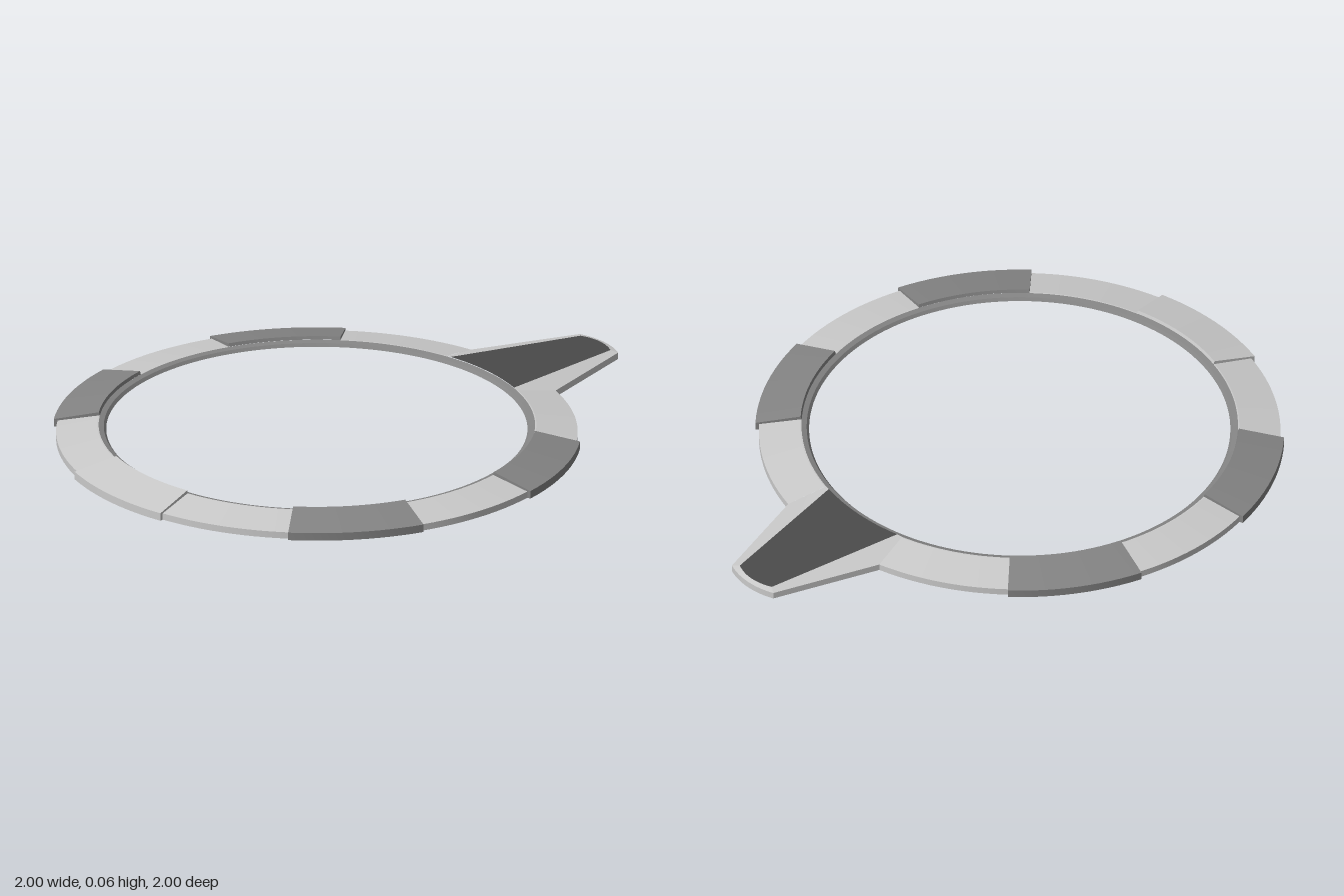
import * as THREE from 'three';
import { toCreasedNormals } from 'three/addons/utils/BufferGeometryUtils.js';

const DEG = Math.PI / 180;

function flatMaterial(name, color) {
  const material = new THREE.MeshStandardMaterial({ color, side: THREE.DoubleSide });
  material.name = name;
  return material;
}

// point at radius r, angle in degrees (0 = +x, 90 = +z) and height y
const polar = (r, deg, y) => [r * Math.cos(deg * DEG), y, r * Math.sin(deg * DEG)];

// open surface through rows of points
function sheet(rows) {
  const pos = [];
  for (let i = 0; i + 1 < rows.length; i++) {
    const s = rows[i], e = rows[i + 1];
    for (let j = 0; j + 1 < s.length; j++) {
      pos.push(...s[j], ...s[j + 1], ...e[j + 1], ...s[j], ...e[j + 1], ...e[j]);
    }
  }
  const geometry = new THREE.BufferGeometry();
  geometry.setAttribute('position', new THREE.Float32BufferAttribute(pos, 3));
  return toCreasedNormals(geometry, 0.12);
}

const place = (profile, deg) => profile.map(([r, y]) => polar(r, deg, y));

// sweeps an (r, y) profile around 30 degrees
function segment(profile, start) {
  const rows = [];
  for (let i = 0; i <= 12; i++) rows.push(place(profile, start + i * 2.5));
  return sheet(rows);
}

export function createModel() {
  const light = flatMaterial('light grey', 0xcacaca);
  const mid = flatMaterial('mid grey', 0x848484);
  const dark = flatMaterial('dark grey', 0x4b4b4b);

  const model = new THREE.Group();
  model.name = 'pointerRing';
  const ring = new THREE.Group();
  ring.name = 'ring';
  ring.position.set(-0.026, 0, 0.021);
  model.add(ring);
  const add = (name, geometry, material) => {
    const mesh = new THREE.Mesh(geometry, material);
    mesh.name = name;
    ring.add(mesh);
  };

  // hollow bevelled segments, the pointer takes the place of the one at 300
  const low = [[0.961, 0], [0.961, 0.025], [0.809, 0.052], [0.804, 0.052]];
  const raised = [[0.975, 0], [0.975, 0.03], [0.808, 0.065], [0.804, 0.053]];
  for (const a of [30, 90, 150, 210, 270, 330]) add('lowSegment', segment(low, a), light);
  for (const a of [0, 60, 120, 180, 240]) {
    const material = a === 120 ? light : mid;
    add('raisedSegment', segment(raised, a), material);
    // step down to the neighbouring segments
    for (const end of [a, a + 30]) {
      add('segmentStep', sheet([place(raised, end), place(low, end)]), material);
    }
  }

  // thin inner rim
  const rim = [[0.776, 0.036], [0.805, 0.044], [0.805, 0.052], [0.785, 0.047], [0.776, 0.036]];
  const lathe = new THREE.LatheGeometry(rim.map(([r, y]) => new THREE.Vector2(r, y)), 144);
  add('innerRim', toCreasedNormals(lathe, 0.12), mid);

  // pointer, hollow below, with slightly bulging tip arcs
  const steps = [];
  for (let i = 0; i <= 12; i++) steps.push(i / 6 - 1);
  const tipPoint = (r, half, y, t) => polar(r + 0.018 * (1 - t * t), -45 + t * half, y);
  const tipArc = (r, half, y) => steps.map((t) => tipPoint(r, half, y, t));
  const tipEdge = tipArc(1.338, 4.85, 0.025);
  const plateEdge = tipArc(1.32, 3.8, 0.031);

  for (const s of [-1, 1]) {
    const shoulder = polar(0.961, -45 + s * 15, 0.025);
    const outer = [polar(0.804, -45 + s * 15, 0.052), shoulder, tipPoint(1.338, 4.85, 0.025, s)];
    const start = polar(0.804, -45 + s * 13.4, 0.055);
    const end = tipPoint(1.32, 3.8, 0.031, s);
    const middle = start.map((v, i) => v + (end[i] - v) * 0.28);
    add('pointerSlope', sheet([outer, [start, middle, end]]), light);
    const wall = [shoulder, outer[2]];
    add('pointerWall', sheet([wall.map(([x, , z]) => [x, 0, z]), wall]), light);
  }
  add('pointerTip', sheet([tipEdge.map(([x, , z]) => [x, 0, z]), tipEdge, plateEdge]), light);

  // dark pointer plate
  add('pointerPlate', sheet(steps.map((t, i) => [
    polar(0.804, -45 + t * 13.4, 0.055),
    plateEdge[i],
  ])), dark);

  return model;
}
